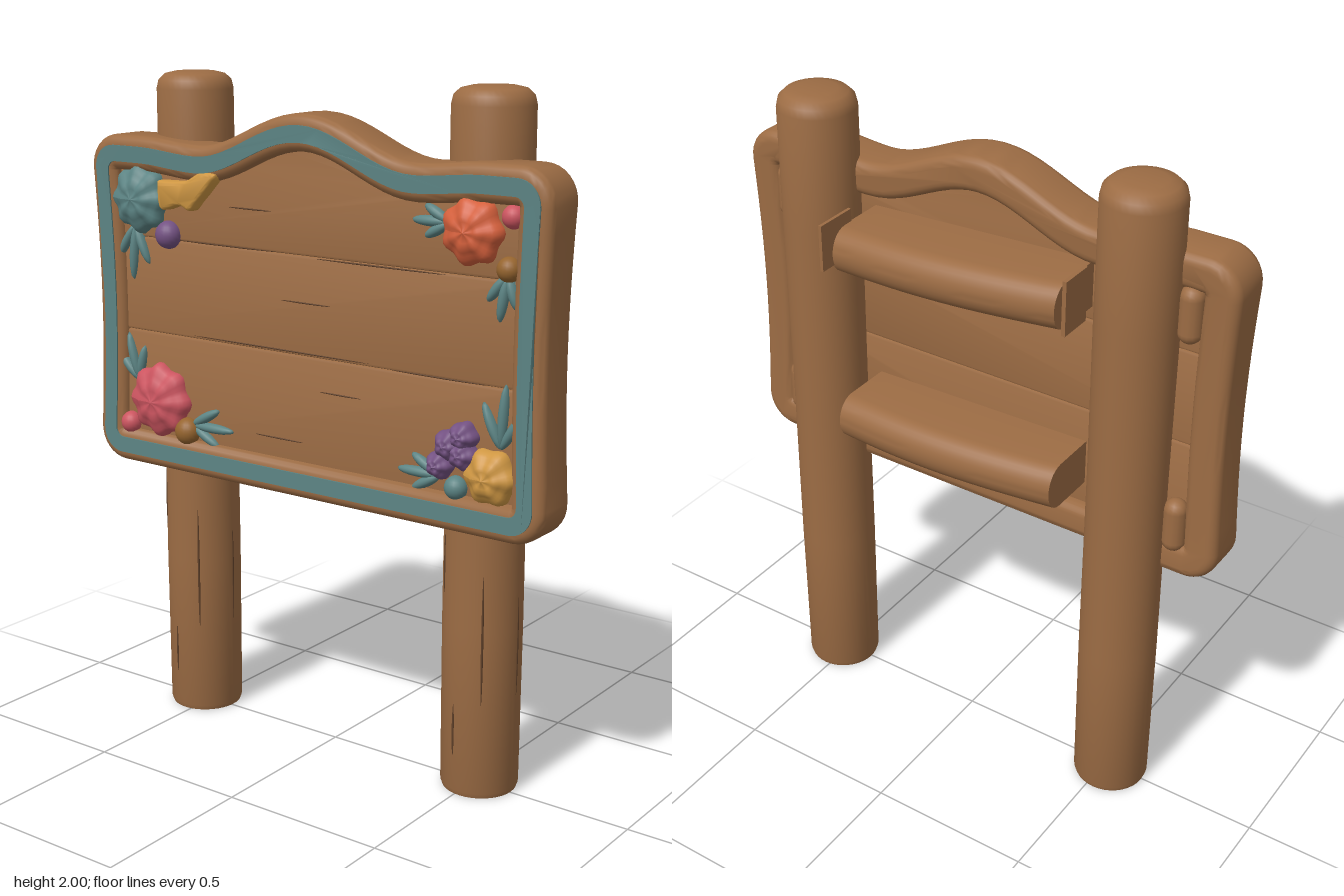
import * as THREE from 'three';
import { toCreasedNormals } from 'three/addons/utils/BufferGeometryUtils.js';

const paint = (name, color) => Object.assign(new THREE.MeshStandardMaterial({ color }), { name });
const M = {
  wood: paint('wood', 0x9c6c44), dark: paint('darkWood', 0x5f4029), teal: paint('teal', 0x5c8484),
  pink: paint('pink', 0xcc5560), orange: paint('orange', 0xd5603c), yellow: paint('yellow', 0xcf9743),
  purple: paint('purple', 0x745283), berry: paint('brownBerry', 0x96652f),
};

function add(parent, name, geometry, material, x = 0, y = 0, z = 0) {
  const mesh = new THREE.Mesh(geometry, material);
  mesh.name = name;
  mesh.position.set(x, y, z);
  parent.add(mesh);
  return mesh;
}

// Move every vertex by a rule
function warp(geometry, rule) {
  const p = geometry.attributes.position, v = new THREE.Vector3();
  for (let i = 0; i < p.count; i++) {
    rule(v.fromBufferAttribute(p, i));
    p.setXYZ(i, v.x, v.y, v.z);
  }
  geometry.computeVertexNormals();
  return geometry;
}

// Top edge of the board: flat shoulders with a central arch
function topEdge(x) {
  const a = Math.abs(x);
  const arch = a < 0.38 ? 0.055 * (Math.cos(Math.PI * a / 0.38) + 1) : 0;
  return 1.8 + arch + 0.015 * THREE.MathUtils.smoothstep(a, 0.38, 0.6);
}

// Board outline, moved inwards by d
function outline(d) {
  const w = 0.802 - d, b = 0.808 + d, r = Math.max(0.105 - d, 0.03), pts = [];
  const corner = (cx, cy, start) => {
    for (let i = 0; i <= 8; i++) {
      const a = start + i / 8 * Math.PI / 2;
      pts.push(new THREE.Vector2(cx + r * Math.cos(a), cy + r * Math.sin(a)));
    }
  };
  const top = topEdge(0.7) - d;
  const side = (x, y0, y1) => {
    for (let i = 1; i < 12; i++) pts.push(new THREE.Vector2(x, y0 + (y1 - y0) * i / 12));
  };
  corner(-w + r, b + r, Math.PI);
  corner(w - r, b + r, Math.PI * 1.5);
  side(w, b + r, top - r);
  corner(w - r, top - r, 0);
  for (let i = 1; i < 40; i++) {
    const x = (w - r) * (1 - i / 20);
    pts.push(new THREE.Vector2(x, topEdge(x) - d));
  }
  corner(-w + r, top - r, Math.PI / 2);
  side(-w, top - r, b + r);
  return pts;
}

// Gentle waist at the sides and thickness of the board
function waist(v) {
  const k = Math.cos(THREE.MathUtils.clamp((v.y - 1.31) / 0.5, -1, 1) * Math.PI / 2);
  v.x *= 1 - 0.022 * k;
  v.z += (0.09 - v.z) * 0.1 * k;
}

function ring(outer, inner, z, options) {
  const shape = new THREE.Shape(outline(outer));
  shape.holes.push(new THREE.Path(outline(inner)));
  const g = new THREE.ExtrudeGeometry(shape, options).translate(0, 0, z);
  return toCreasedNormals(warp(g, waist), 0.8);
}

// One plank; without y1 it follows the arched top
function plank(y0, y1) {
  const pts = [new THREE.Vector2(-0.715, y0), new THREE.Vector2(0.715, y0)];
  for (let i = 0; i <= 30; i++) {
    const x = 0.715 * (1 - i / 15);
    pts.push(new THREE.Vector2(x, y1 ?? topEdge(x) - 0.085));
  }
  return toCreasedNormals(new THREE.ExtrudeGeometry(new THREE.Shape(pts), {
    depth: 0.076, bevelThickness: 0.008, bevelSize: 0.008, bevelSegments: 2,
  }).translate(0, 0, 0.058), 0.5);
}

// Half-round crossbar that bows backwards
function rail(slope) {
  const s = new THREE.Shape();
  s.moveTo(0.05, -0.07);
  s.lineTo(0.05, 0.07);
  s.lineTo(-0.09, 0.07);
  s.bezierCurveTo(-0.17, 0.065, -0.17, -0.065, -0.09, -0.07);
  const g = new THREE.ExtrudeGeometry(s, { depth: 0.72, steps: 16, bevelEnabled: false, curveSegments: 16 });
  g.rotateY(-Math.PI / 2).translate(0.365, 0, 0);
  return toCreasedNormals(warp(g, v => {
    if (v.z < 0) v.z -= 0.03 * Math.cos(Math.PI * (v.x - 0.05) / 0.8);
    v.y += slope * v.x;
  }), 0.8);
}

// Flattened blossom with scalloped, rippled petals
function blossom(parent, name, x, y, r, material, petals = 7, height = 0.055) {
  const g = warp(new THREE.SphereGeometry(1, 42, 20).rotateX(Math.PI / 2), v => {
    const a = Math.atan2(v.y, v.x), rim = Math.hypot(v.x, v.y);
    const k = 1 + 0.07 * rim * Math.cos(petals * a);
    const ripple = 1 + 0.08 * Math.cos(petals * a) * rim + 0.06 * Math.cos(rim * 14);
    v.set(v.x * k * r, v.y * k * r, v.z * ripple * height);
  });
  add(parent, name, g, material, x, y, 0.142);
}

function ball(parent, name, x, y, r, material) {
  add(parent, name, new THREE.SphereGeometry(r, 20, 14), material, x, y, 0.146).scale.z = Math.min(1, 0.04 / r);
}

// Fan of slim leaves spreading from a point towards an angle
function leaves(parent, x, y, angle, length) {
  [-0.5, 0, 0.5].forEach((t, i) => {
    const a = angle + t, l = length * (i === 1 ? 1 : 0.75) / 2;
    const leaf = add(parent, 'leaf', new THREE.SphereGeometry(1, 14, 10), M.teal,
      x + l * Math.cos(a), y + l * Math.sin(a), 0.142);
    leaf.scale.set(l, 0.015, 0.018);
    leaf.rotation.z = a;
  });
}

export function createModel() {
  const model = new THREE.Group();
  model.name = 'woodenSign';

  // Posts with worn tops and a few cracks
  const profile = [[0, 0], [0.108, 0], [0.113, 0.015], [0.115, 0.5], [0.113, 1.1], [0.115, 1.6], [0.114, 1.95],
    [0.108, 1.975], [0.09, 1.992], [0.06, 1.999], [0, 2]].map(p => new THREE.Vector2(...p));
  for (const x of [-0.522, 0.516]) {
    const post = new THREE.Group();
    post.name = 'post';
    post.position.set(x, 0, -0.005);
    add(post, 'postLog', toCreasedNormals(new THREE.LatheGeometry(profile, 36), 0.7), M.wood);
    for (const [a, y, l] of [[0.55, 0.48, 0.2], [-0.7, 0.68, 0.1], [1.6, 0.45, 0.16], [-0.2, 0.2, 0.08]]) {
      add(post, 'crack', new THREE.SphereGeometry(1, 8, 10), M.dark, 0.113 * Math.sin(a), y, 0.113 * Math.cos(a))
        .scale.set(0.004, l, 0.004);
    }
    model.add(post);
  }

  // Board: frame, painted band and planks
  const board = new THREE.Group();
  board.name = 'board';
  add(board, 'frame', ring(0.03, 0.075, 0.04, {
    depth: 0.102, steps: 1, bevelThickness: 0.03, bevelSize: 0.03, bevelSegments: 5,
  }), M.wood);
  add(board, 'paintedBand', ring(0.03, 0.078, 0.169, { depth: 0.007, bevelEnabled: false }), M.teal);
  add(board, 'lowerPlank', plank(0.88, 1.218), M.wood);
  add(board, 'middlePlank', plank(1.234, 1.506), M.wood);
  add(board, 'upperPlank', plank(1.522), M.wood);
  for (const y of [1.226, 1.514]) add(board, 'plankGap', new THREE.BoxGeometry(1.42, 0.02, 0.07), M.wood, 0, y, 0.098);
  for (const [x, y, l] of [[-0.1, 1.235, 0.36], [0.45, 1.228, 0.16], [-0.3, 1.516, 0.2], [0.25, 1.51, 0.22],
    [0, 1.38, 0.1], [-0.2, 1.63, 0.09], [0.12, 1.13, 0.08], [-0.1, 0.97, 0.1]]) {
    add(board, 'woodGrain', new THREE.SphereGeometry(1, 12, 6), M.dark, x, y, 0.141).scale.set(l, 0.0025, 0.003);
  }
  // Stubs where the posts meet the back of the frame
  for (const x of [-0.66, 0.66]) for (const y of [0.97, 1.64]) {
    add(board, 'backStub', new THREE.CapsuleGeometry(0.035, 0.1, 6, 14), M.wood, x, y, 0.03);
  }
  model.add(board);

  // Crossbars behind the board, with end plates on the upper one
  add(model, 'upperRail', rail(-0.05), M.wood, 0, 1.61, 0);
  add(model, 'lowerRail', rail(-0.02), M.wood, 0, 1.045, 0);
  add(model, 'endPlate', new THREE.BoxGeometry(0.01, 0.14, 0.135), M.wood, 0.366, 1.63, -0.137);
  add(model, 'endPlate', new THREE.BoxGeometry(0.012, 0.16, 0.105), M.wood, -0.393, 1.66, -0.112);

  // Flower ornaments in the four corners
  const flowers = new THREE.Group();
  flowers.name = 'flowers';
  blossom(flowers, 'tealFlower', -0.61, 1.63, 0.1, M.teal, 8);
  const wing = new THREE.SplineCurve([[-0.52, 1.69], [-0.42, 1.695], [-0.36, 1.722], [-0.3, 1.72], [-0.335, 1.675],
    [-0.37, 1.64], [-0.4, 1.612], [-0.44, 1.625], [-0.51, 1.61], [-0.52, 1.69]].map(p => new THREE.Vector2(...p)));
  add(flowers, 'yellowPetal', toCreasedNormals(new THREE.ExtrudeGeometry(new THREE.Shape(wing.getPoints(40)), {
    depth: 0.02, bevelThickness: 0.02, bevelSize: 0.012, bevelOffset: -0.01, bevelSegments: 4,
  }).translate(0, 0, 0.142), 0.9), M.yellow);
  ball(flowers, 'purpleBud', -0.505, 1.53, 0.042, M.purple);
  leaves(flowers, -0.64, 1.55, -1.65, 0.17);

  blossom(flowers, 'orangeFlower', 0.553, 1.635, 0.09, M.orange, 7);
  ball(flowers, 'pinkBud', 0.675, 1.682, 0.032, M.pink);
  ball(flowers, 'brownBud', 0.665, 1.545, 0.034, M.berry);
  leaves(flowers, 0.48, 1.65, Math.PI, 0.12);
  leaves(flowers, 0.66, 1.53, -1.75, 0.13);

  blossom(flowers, 'pinkFlower', -0.55, 1.02, 0.11, M.pink, 8);
  ball(flowers, 'pinkBud', -0.675, 0.932, 0.034, M.pink);
  ball(flowers, 'brownBud', -0.445, 0.938, 0.042, M.berry);
  leaves(flowers, -0.64, 1.07, 1.85, 0.15);
  leaves(flowers, -0.43, 0.96, 0, 0.16);

  for (const [x, y, r] of [[0.54, 1.08, 0.042], [0.495, 1.05, 0.045], [0.465, 0.99, 0.04], [0.54, 1.03, 0.045]]) {
    blossom(flowers, 'purpleCluster', x, y, r, M.purple, 5, 0.05);
  }
  blossom(flowers, 'yellowFlower', 0.625, 0.98, 0.078, M.yellow, 6);
  ball(flowers, 'tealBud', 0.515, 0.932, 0.034, M.teal);
  leaves(flowers, 0.46, 0.955, Math.PI, 0.14);
  leaves(flowers, 0.65, 1.06, 1.5, 0.18);
  model.add(flowers);

  return model;
}
